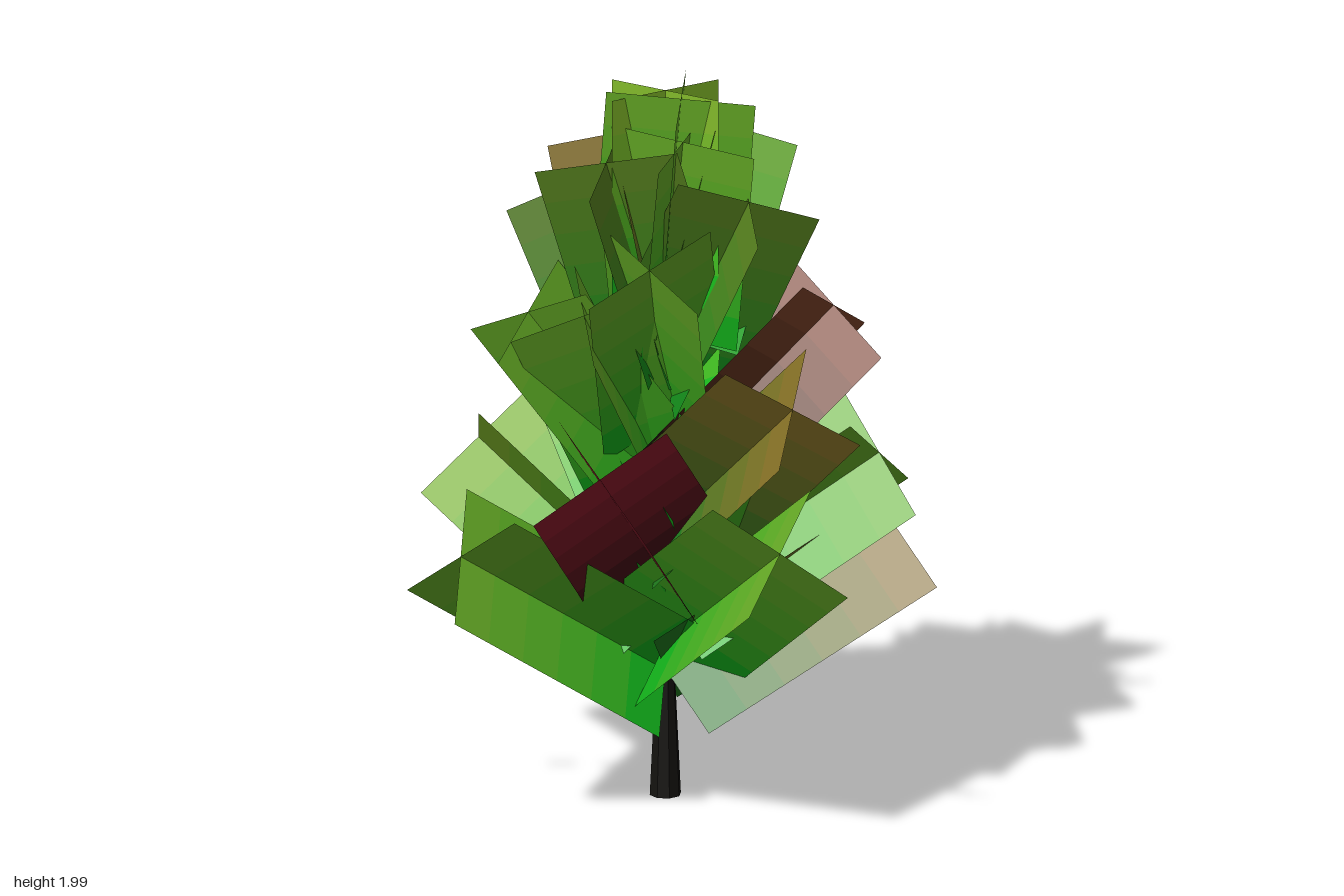
import * as THREE from 'three';
import { mergeGeometries } from 'three/addons/utils/BufferGeometryUtils.js';

const BANDS = 6;

// colour at the trunk end and at the outer end of a spray
const TONES = {
  green: [0x12b01a, 0x66ac26],
  dark: [0x148c1a, 0x56801e],
  lime: [0x18b81c, 0x7eb428],
  olive: [0x1e781c, 0x857026],
  brown: [0x241008, 0x80442a],
  red: [0x1e0408, 0x8a1a2a],
};

// outer end of each spray: x, y, z, tone
const SPRAYS = [
  [0.44, 0.705, -0.455, 'olive'],
  [-0.35, 0.75, 0.485, 'green'],
  [-0.41, 0.78, -0.455, 'red'],
  [0.51, 0.84, 0.265, 'green'],
  [-0.575, 0.91, 0.005, 'lime'],
  [0.475, 0.95, -0.32, 'green'],
  [0.095, 1.05, 0.51, 'red'],
  [-0.01, 1.10, -0.545, 'brown'],
  [0.47, 1.20, 0.13, 'olive'],
  [-0.41, 1.24, -0.25, 'lime'],
  [0.355, 1.355, -0.285, 'brown'],
  [-0.27, 1.39, 0.265, 'green'],
  [-0.065, 1.43, 0.32, 'green'],
  [-0.16, 1.51, -0.37, 'lime'],
  [0.12, 1.58, 0.29, 'green'],
  [-0.29, 1.67, -0.03, 'dark'],
  [0.27, 1.72, 0.02, 'dark'],
  [-0.09, 1.81, 0.16, 'dark'],
  [0.08, 1.85, -0.18, 'green'],
  [-0.17, 1.82, -0.06, 'olive'],
  [0.09, 1.87, 0.06, 'green'],
  [-0.035, 1.96, -0.06, 'lime'],
  [0.06, 1.975, 0.02, 'green'],
];

// two crossed blades along +y, cut into bands that shift in colour
function createSpray(width, length, [inner, outer]) {
  const spray = new THREE.Group();
  const step = length / BANDS;
  for (let i = 0; i < BANDS; i++) {
    const blades = [1, -1].map((side) =>
      new THREE.PlaneGeometry(width, step)
        .translate(0, (i + 0.5) * step, 0)
        .rotateY(side * Math.PI / 4));
    const color = new THREE.Color(inner).lerp(new THREE.Color(outer), i / (BANDS - 1));
    const band = new THREE.Mesh(
      mergeGeometries(blades),
      new THREE.MeshStandardMaterial({ color, side: THREE.DoubleSide }));
    band.name = 'leafBand';
    spray.add(band);
  }
  return spray;
}

export function createModel() {
  const tree = new THREE.Group();
  tree.name = 'tree';

  // tapering trunk
  const trunk = new THREE.Mesh(
    new THREE.CylinderGeometry(0.004, 0.043, 0.8, 8).translate(0, 0.4, 0),
    new THREE.MeshStandardMaterial({ color: 0x14120f, flatShading: true }));
  trunk.name = 'trunk';
  tree.add(trunk);

  // leaf sprays grow from the trunk, steeper towards the crown
  for (const [x, y, z, tone] of SPRAYS) {
    const reach = Math.hypot(x, z);
    const length = 0.81 - 0.12 * y;
    const rise = Math.sqrt(length * length - reach * reach);
    const along = new THREE.Vector3(x, rise, z).normalize();
    const across = new THREE.Vector3(z, 0, -x).normalize();
    const normal = new THREE.Vector3().crossVectors(across, along);

    const spray = createSpray(0.47 - 0.035 * y, length, TONES[tone]);
    spray.name = 'leafSpray';
    spray.position.y = y - rise;
    spray.quaternion.setFromRotationMatrix(
      new THREE.Matrix4().makeBasis(across, along, normal));
    tree.add(spray);
  }
  return tree;
}
